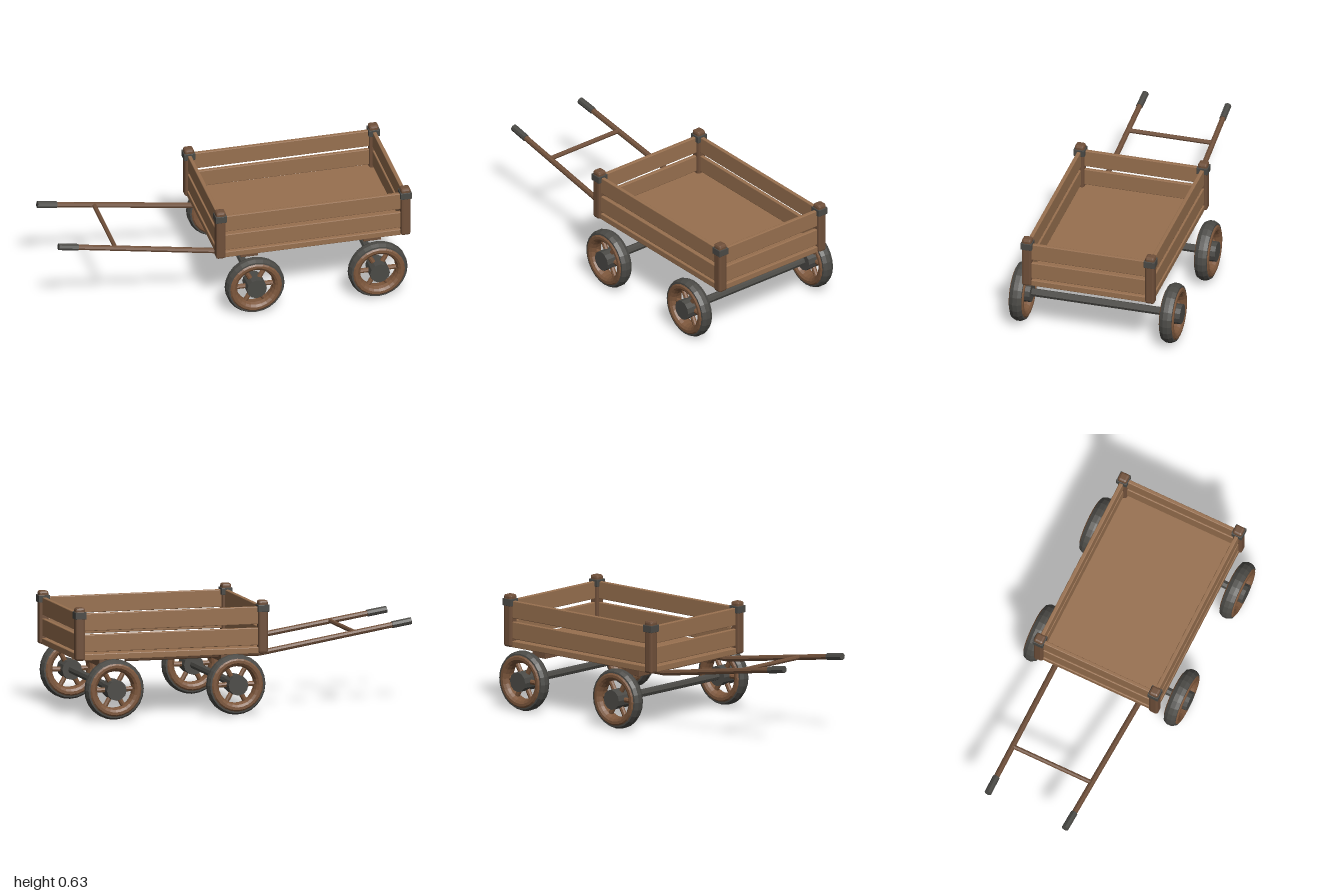
import * as THREE from 'three';
import { RoundedBoxGeometry } from 'three/addons/geometries/RoundedBoxGeometry.js';
import { mergeVertices } from 'three/addons/utils/BufferGeometryUtils.js';

const material = (name, color) => {
  const m = new THREE.MeshStandardMaterial({ color, flatShading: true });
  m.name = name;
  return m;
};

export function createModel() {
  const plankWood = material('plank wood', 0x98704f);
  const frameWood = material('frame wood', 0x70503a);
  const rimWood = material('rim wood', 0x7d573c);
  const iron = material('iron', 0x4b4a46);

  const cart = new THREE.Group();
  cart.name = 'handcart';

  const add = (parent, name, geometry, mat, x = 0, y = 0, z = 0) => {
    const mesh = new THREE.Mesh(geometry, mat);
    mesh.name = name;
    mesh.position.set(x, y, z);
    parent.add(mesh);
    return mesh;
  };

  // Box with softened edges
  const block = (name, mat, w, h, d, x, y, z, bevel = 0.004) =>
    add(cart, name, new RoundedBoxGeometry(w, h, d, 1, bevel), mat, x, y, z);

  // Round bar between two points
  const bar = (parent, name, mat, a, b, radius, sides = 8) => {
    const from = new THREE.Vector3(...a);
    const to = new THREE.Vector3(...b);
    const dir = to.clone().sub(from);
    const mesh = add(parent, name,
      new THREE.CylinderGeometry(radius, radius, dir.length(), sides), mat);
    mesh.position.copy(from).add(to).multiplyScalar(0.5);
    mesh.quaternion.setFromUnitVectors(new THREE.Vector3(0, 1, 0), dir.normalize());
    return mesh;
  };

  const midX = 0.433;
  const postX = [-0.098, 0.964];
  const postZ = 0.357;

  // Floor and plank walls
  block('floor', plankWood, 1.09, 0.036, 0.74, midX, 0.347, 0);
  for (const [bottom, top] of [[0.376, 0.474], [0.494, 0.593]]) {
    const y = (bottom + top) / 2;
    const h = top - bottom;
    for (const s of [-1, 1]) {
      block('sidePlank', plankWood, 1.06, h, 0.022, midX, y, s * postZ);
      block('endPlank', plankWood, 0.022, h, 0.71, midX + s * 0.531, y, 0);
    }
  }

  // Corner posts with iron bands
  for (const x of postX) {
    for (const s of [-1, 1]) {
      block('cornerPost', frameWood, 0.055, 0.298, 0.055, x, 0.479, s * postZ, 0.012);
      block('postBand', iron, 0.064, 0.04, 0.064, x, 0.584, s * postZ, 0.002);
    }
  }

  // Pull handles running under the floor
  for (const s of [-1, 1]) {
    const bend = [-0.11, 0.316, s * 0.257];
    bar(cart, 'underRail', frameWood, [0.67, 0.316, s * 0.257], bend, 0.016);
    bar(cart, 'handle', frameWood, bend, [-0.96, 0.453, s * 0.24], 0.016);
    bar(cart, 'handleGrip', iron, [-0.885, 0.441, s * 0.2415], [-0.997, 0.459, s * 0.239], 0.02);
    add(cart, 'handleJoint', new THREE.IcosahedronGeometry(0.016, 1), frameWood, ...bend);
  }
  bar(cart, 'handleCrossbar', frameWood, [-0.67, 0.407, -0.245], [-0.67, 0.407, 0.245], 0.013);

  // Wheel cross-sections as radius and half-width, closed loops
  const ring = (points) => {
    const g = new THREE.LatheGeometry(points.map((p) => new THREE.Vector2(...p)), 24);
    g.rotateX(Math.PI / 2);
    return mergeVertices(g);
  };
  const tyreShape = ring([[0.14, -0.036], [0.158, -0.034], [0.169, -0.013],
    [0.169, 0.013], [0.158, 0.034], [0.14, 0.036], [0.14, -0.036]]);
  const rimShape = ring([[0.104, -0.015], [0.112, -0.033], [0.125, -0.042], [0.14, -0.042],
    [0.15, -0.034], [0.15, 0.034], [0.14, 0.042], [0.125, 0.042], [0.112, 0.033],
    [0.104, 0.015], [0.104, -0.015]]);
  const hubShape = new THREE.CylinderGeometry(0.057, 0.057, 0.11, 12).rotateX(Math.PI / 2);

  const addWheel = (x, z) => {
    const wheel = new THREE.Group();
    wheel.name = 'wheel';
    wheel.position.set(x, 0.171, z);
    add(wheel, 'tyre', tyreShape, iron);
    add(wheel, 'rim', rimShape, rimWood);
    add(wheel, 'hub', hubShape, iron);
    for (let i = 0; i < 6; i++) {
      const a = (i * Math.PI) / 3;
      const c = Math.cos(a);
      const s = Math.sin(a);
      bar(wheel, 'spoke', rimWood, [c * 0.045, s * 0.045, 0], [c * 0.115, s * 0.115, 0], 0.014);
    }
    cart.add(wheel);
  };

  // Running gear: bolster, axle and a pair of wheels
  for (const x of [0.08, 0.787]) {
    block('bolster', frameWood, 0.1, 0.048, 0.63, x, 0.307, 0, 0.002);
    bar(cart, 'axle', iron, [x, 0.171, -0.42], [x, 0.171, 0.42], 0.023);
    addWheel(x, 0.435);
    addWheel(x, -0.435);
  }

  return cart;
}
